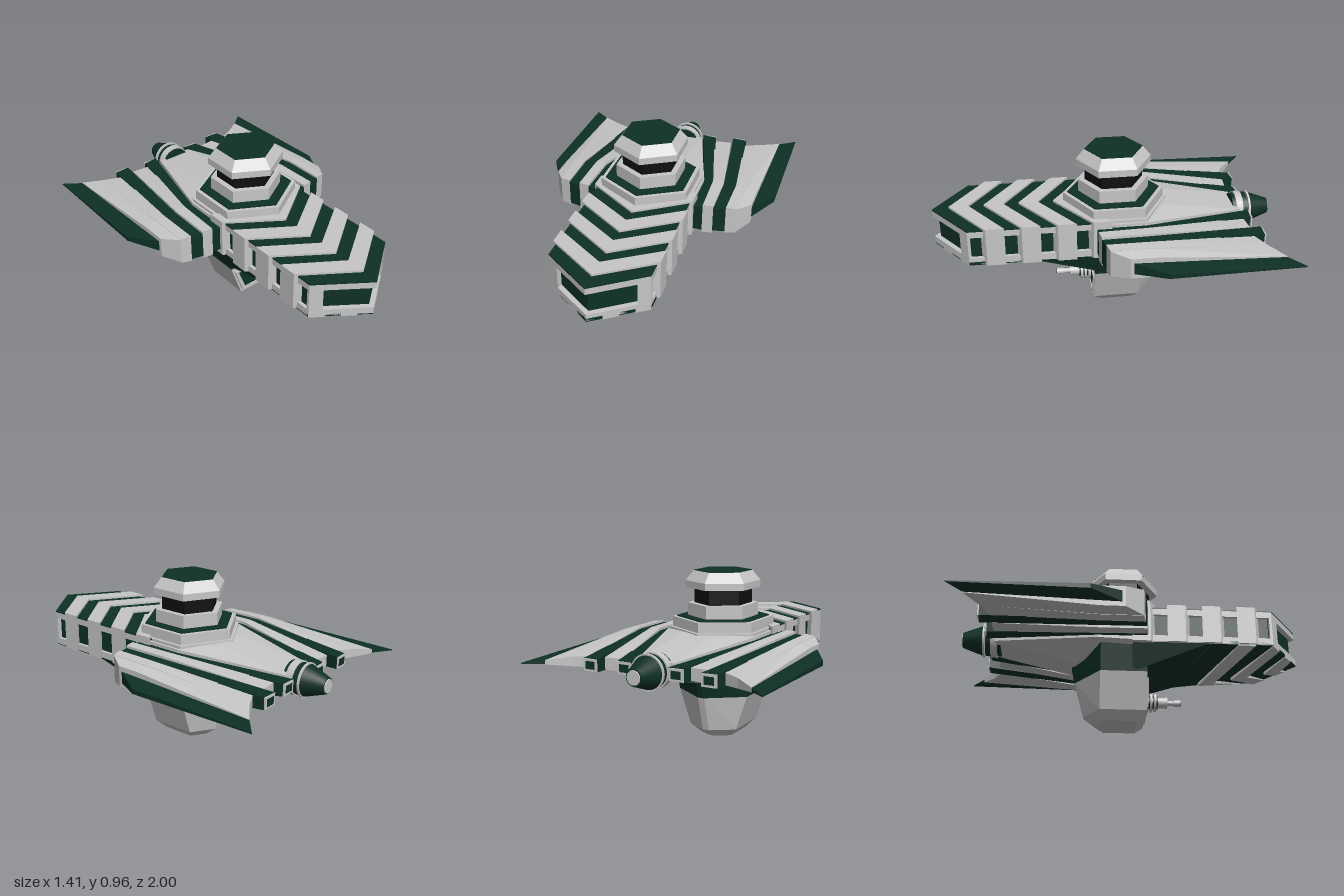
import * as THREE from 'three';
import { ConvexGeometry } from 'three/addons/geometries/ConvexGeometry.js';

const paint = (name, color) => Object.assign(new THREE.MeshStandardMaterial({ color }), { name });

export function createModel() {
  const root = new THREE.Group();
  root.name = 'spacecraft';
  const light = paint('light grey', 0xc6c6c6);
  const green = paint('dark green', 0x0e3025);
  const black = paint('black', 0x0f0f0f);

  const add = (name, geometry, material, parent = root) => {
    const mesh = new THREE.Mesh(geometry, material);
    mesh.name = name;
    parent.add(mesh);
    return mesh;
  };
  const flat = (g) => {
    const out = g.index ? g.toNonIndexed() : g;
    out.computeVertexNormals();
    return out;
  };
  // convex faceted solid from corner points
  const solid = (name, pts, mat) =>
    add(name, new ConvexGeometry(pts.map((p) => new THREE.Vector3(...p))), mat);
  // plan outline (x, z) raised from y0 to y1
  const prism = (name, plan, y0, y1, mat) => {
    const shape = new THREE.Shape(plan.map(([x, z]) => new THREE.Vector2(x, -z)));
    const g = new THREE.ExtrudeGeometry(shape, { depth: y1 - y0, bevelEnabled: false });
    g.rotateX(-Math.PI / 2).translate(0, y0, 0);
    return add(name, g, mat);
  };
  const hex = (name, rTop, rBottom, y0, y1, mat) => {
    const g = flat(new THREE.CylinderGeometry(rTop, rBottom, y1 - y0, 6));
    return add(name, g.translate(0, (y0 + y1) / 2, -0.05), mat);
  };
  // round section along z, from z0 to z1
  const round = (name, r0, r1, z0, z1, y, mat, sides = 24) => {
    const g = new THREE.CylinderGeometry(r1, r0, z1 - z0, sides);
    g.rotateX(Math.PI / 2).translate(0, y, (z0 + z1) / 2);
    return add(name, g, mat);
  };

  // forward hull: recessed dark core between light rails
  const SLOPE = 0.2 / 0.28;
  const pentagon = (w, tip) => [[0, tip], [w, tip - w * SLOPE], [w, 0], [-w, 0], [-w, tip - w * SLOPE]];
  prism('hullCore', pentagon(0.26, 0.965), 0.44, 0.6, green);
  prism('upperRail', pentagon(0.28, 1), 0.585, 0.622, light);
  prism('lowerRail', pentagon(0.28, 1), 0.415, 0.455, light);
  prism('hullDeck', pentagon(0.28, 1), 0.622, 0.63, green);
  for (const s of [-1, 1]) {
    prism('cornerPost', [[s * 0.28, 0.8], [s * 0.28, 0.785], [s * 0.2, 0.785], [s * 0.22, 0.843]], 0.45, 0.59, light);
  }
  // chevron ribs wrapping the hull
  for (let i = 0; i < 4; i++) {
    const a = 0.905 - i * 0.2;
    const b = a - 0.11;
    const w = 0.297;
    prism('chevronRib', [[0, a], [w, a - 0.205], [w, b - 0.2], [0, b], [-w, b - 0.2], [-w, a - 0.205]], 0.412, 0.642, light);
  }

  // underside keel: alternating bands swept back to the centre ridge
  const keelEdges = [1, 0.9, 0.8, 0.7, 0.6, 0.5, 0.4, 0.25];
  const ridge = (z) => 0.41 - 0.21 * (1 - z);
  for (let i = 0; i < keelEdges.length - 1; i++) {
    const proud = i % 2 ? 0.018 : 0;
    for (const s of [-1, 1]) {
      const pts = [];
      for (const z of [keelEdges[i], keelEdges[i + 1]]) {
        const x = Math.min(0.28, (1 - z) / (2 * SLOPE));
        pts.push([0, ridge(z) - proud, z], [s * x, 0.41 - proud * 0.3, z + x * SLOPE]);
        pts.push([0, 0.43, z], [s * x, 0.43, z + x * SLOPE]);
      }
      solid('keelBand', pts, proud ? light : green);
    }
  }
  solid('keelRear', [-1, 1].flatMap((s) => [
    [s * 0.28, 0.42, 0.45], [s * 0.27, 0.42, 0], [s * 0.22, 0.255, 0], [0, 0.253, 0.25],
  ]), green);

  // central body tapering to the stern
  solid('centralBody', [-1, 1].flatMap((s) => [
    [s * 0.285, 0.42, 0.08], [s * 0.285, 0.615, 0.08], [s * 0.285, 0.615, -0.2], [s * 0.285, 0.43, -0.2],
    [s * 0.11, 0.565, -0.79], [s * 0.11, 0.47, -0.79], [s * 0.1, 0.35, -0.32], [s * 0.24, 0.4, 0],
    [s * 0.1, 0.625, -0.34],
  ]), light);

  // wing strips: inner and outer edges as [front x, mid x, rear x, front z]
  const edges = [
    [0.28, 0.285, 0.11, 0.08], [0.35, 0.34, 0.2, 0.08], [0.41, 0.405, 0.31, 0.07],
    [0.48, 0.48, 0.4, 0.055], [0.54, 0.54, 0.5, 0.04], [0.605, 0.605, 0.61, -0.06],
  ];
  // [inner rear z, outer rear z, inner/outer front half height, inner/outer rear half height]
  const strips = [
    [-0.84, -0.83, 0.076, 0.076, 0.036, 0.036],
    [-0.785, -0.795, 0.092, 0.09, 0.034, 0.034],
    [-0.86, -0.855, 0.076, 0.074, 0.034, 0.034],
    [-0.79, -0.84, 0.086, 0.08, 0.032, 0.026],
    [-0.84, -0.92, 0.078, 0.06, 0.026, 0.012],
  ];
  const MID = 0.52;
  for (const s of [-1, 1]) {
    strips.forEach(([zi, zo, fi, fo, ri, ro], i) => {
      const sides = [[edges[i], zi, fi, ri], [edges[i + 1], zo, fo, ro]];
      const mat = i % 2 === 0 && i < 4 ? green : light;
      const at = (x, z, h) => [[s * x, MID + h, z], [s * x, MID - h, z]];
      solid('wingStripFront', sides.flatMap(([e, , f]) => [...at(e[0], e[3], f), ...at(e[1], -0.2, f)]), mat);
      solid('wingStripRear', sides.flatMap(([e, z, f, r]) => [...at(e[1], -0.2, f), ...at(e[2], z, r)]), mat);
      if (mat === green) {
        // framed exhaust at the end of each dark strip
        const x = s * (edges[i][2] + edges[i + 1][2]) / 2;
        const z = Math.min(zi, zo);
        add('exhaustFrame', new THREE.BoxGeometry(0.086, 0.068, 0.008).translate(x, MID, z), light);
        add('exhaustOpening', new THREE.BoxGeometry(0.056, 0.042, 0.008).translate(x, MID, z - 0.003), green);
      }
    });
    solid('wingTip', [[0.6, -0.07, 0.034], [0.705, -0.25, 0.014], [0.705, -1, 0.003], [0.605, -0.915, 0.009]]
      .flatMap(([x, z, h]) => [[s * x, MID + h, z], [s * x, MID - h, z]]), green);
  }

  // hexagonal tower
  hex('towerFoot', 0.315, 0.315, 0.6, 0.632, light);
  hex('towerBase', 0.295, 0.295, 0.62, 0.69, light);
  hex('towerDeck', 0.27, 0.27, 0.688, 0.696, green);
  hex('towerCollar', 0.205, 0.205, 0.69, 0.77, light);
  hex('towerWindowBand', 0.168, 0.168, 0.77, 0.86, black);
  hex('towerCap', 0.217, 0.217, 0.86, 0.9, light);
  hex('towerCapBevel', 0.17, 0.217, 0.9, 0.957, light);
  hex('towerRoof', 0.168, 0.168, 0.953, 0.96, green);

  // belly pod: flat front, parallel sides, pointed back; levels are [y, half width, front z, side z, back z, back half width]
  const level = ([y, w, f, m, b, bw]) => [-1, 1].flatMap((s) => [[s * w, y, f], [s * w, y, m], [s * bw, y, b]]);
  const levels = [
    [0.42, 0.255, 0.085, -0.18, -0.355, 0.02], [0.255, 0.222, 0.085, -0.18, -0.32, 0.02],
    [0.05, 0.152, 0.085, -0.18, -0.265, 0.02], [0, 0.105, 0.035, -0.15, -0.2, 0.02],
  ];
  ['podNeck', 'podBody', 'podChin'].forEach((name, i) =>
    solid(name, [...level(levels[i]), ...level(levels[i + 1])], i ? light : green));
  const trapezoid = (path, w0, y0, w1, y1) =>
    path.setFromPoints([[-w0, y0], [w0, y0], [w1, y1], [-w1, y1]].map((p) => new THREE.Vector2(...p)));
  const frame = trapezoid(new THREE.Shape(), 0.145, 0.07, 0.2, 0.227);
  frame.holes.push(trapezoid(new THREE.Path(), 0.125, 0.085, 0.175, 0.214));
  add('podFrame', new THREE.ExtrudeGeometry(frame, { depth: 0.012, bevelEnabled: false }).translate(0, 0, 0.084), light);
  const panel = trapezoid(new THREE.Shape(), 0.13, 0.08, 0.18, 0.22);
  add('podPanel', new THREE.ExtrudeGeometry(panel, { depth: 0.006, bevelEnabled: false }).translate(0, 0, 0.083), green);

  // gun with stacked collars
  const GUN = 0.152;
  round('gunRoot', 0.038, 0.038, 0.085, 0.16, GUN, green);
  [[0.055, 0.092], [0.055, 0.115], [0.053, 0.138]].forEach(([r, z]) => round('gunCollar', r, r, z, z + 0.014, GUN, light));
  round('gunSleeve', 0.032, 0.03, 0.155, 0.205, GUN, light);
  round('gunRing', 0.034, 0.034, 0.205, 0.216, GUN, light);
  round('gunBarrel', 0.014, 0.014, 0.21, 0.255, GUN, light);
  round('gunMuzzle', 0.019, 0.019, 0.255, 0.295, GUN, light);
  round('gunBore', 0.011, 0.011, 0.29, 0.297, GUN, black);

  // stern engine
  round('engineMount', 0.09, 0.09, -0.85, -0.76, MID, green);
  round('engineRing', 0.098, 0.098, -0.82, -0.78, MID, light);
  round('engineRing', 0.098, 0.098, -0.866, -0.854, MID, light);
  round('engineNozzle', 0.046, 0.092, -0.985, -0.86, MID, green);
  round('engineTip', 0.038, 0.04, -0.99, -0.982, MID, light);
  return root;
}
